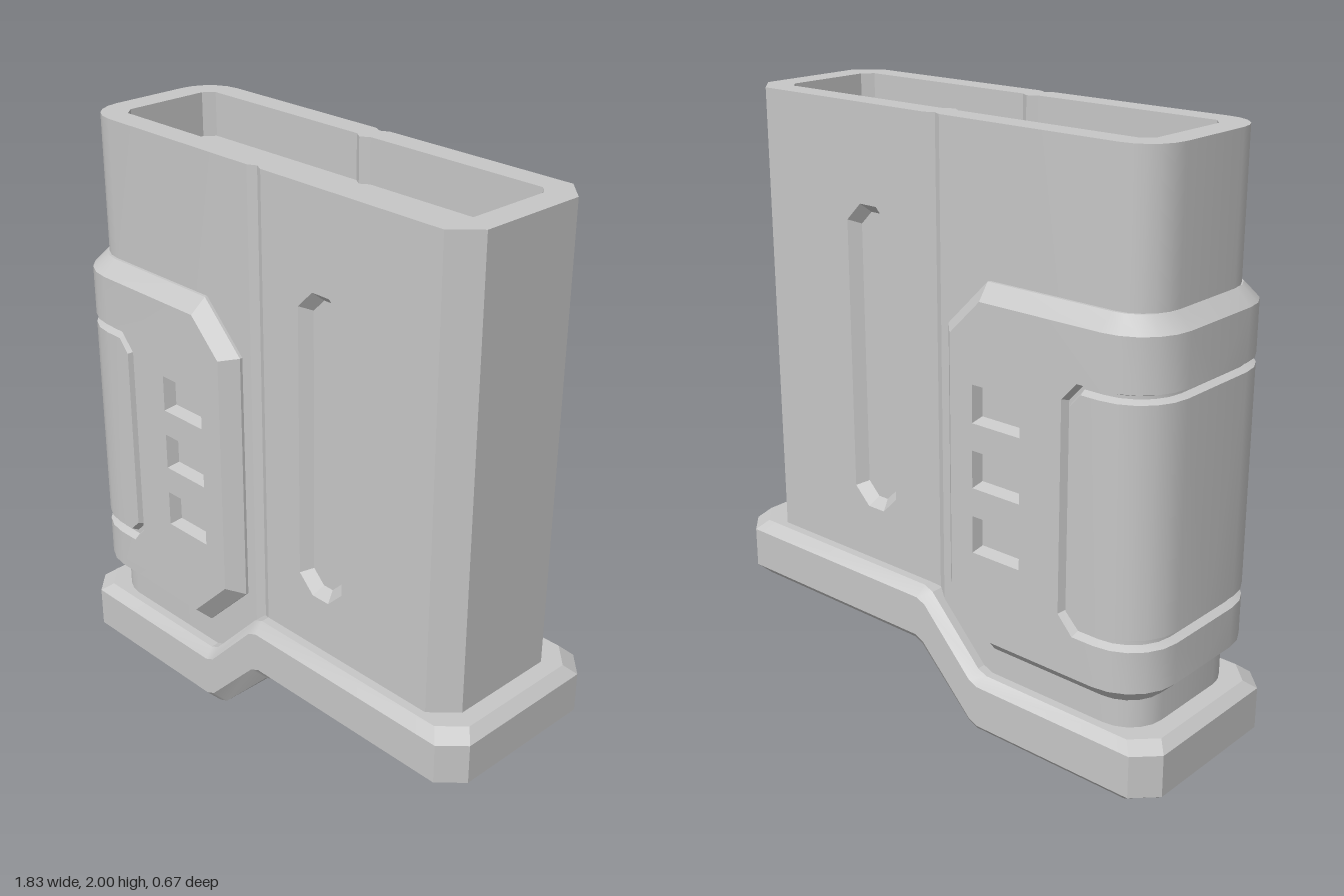
import * as THREE from 'three';
import { mergeGeometries, toCreasedNormals } from 'three/addons/utils/BufferGeometryUtils.js';

const at = (loop, z) => loop.map(([x, y]) => [x, y, z]);

// Surface through rows of points; it faces (along row) x (row to row)
function skin(rows, closed = false) {
  const pos = [];
  for (let i = 0; i < rows.length - 1; i++) {
    const n = rows[i].length;
    for (let j = 0; j < (closed ? n : n - 1); j++) {
      const k = (j + 1) % n;
      const a = rows[i][j], b = rows[i][k], c = rows[i + 1][k], d = rows[i + 1][j];
      pos.push(...a, ...b, ...c, ...a, ...c, ...d);
    }
  }
  const g = new THREE.BufferGeometry();
  g.setAttribute('position', new THREE.Float32BufferAttribute(pos, 3));
  return g;
}

// Flat face pointing to +z, with optional holes
function face(outline, z, holes = []) {
  const vec = (l) => l.map(([x, y]) => new THREE.Vector2(x, y));
  const shape = new THREE.Shape(vec(outline));
  holes.forEach((h) => shape.holes.push(new THREE.Path(vec(h))));
  const g = new THREE.ShapeGeometry(shape).toNonIndexed();
  g.deleteAttribute('normal');
  g.deleteAttribute('uv');
  return g.translate(0, 0, z);
}

// Flat face pointing up, from [x, z] points
const floor = (plan, y) =>
  face(plan.map(([x, z]) => [x, -z]), 0).rotateX(-Math.PI / 2).translate(0, y, 0);

// Copy reflected to the back, with corner order reversed
function mirrored(geo) {
  const g = geo.clone().scale(1, 1, -1);
  const p = g.attributes.position.array;
  for (let i = 0; i < p.length; i += 9) {
    for (let k = 0; k < 3; k++) [p[i + 3 + k], p[i + 6 + k]] = [p[i + 6 + k], p[i + 3 + k]];
  }
  return g;
}

// Clockwise rectangle with cut corners
function cutRect(x0, y0, x1, y1, c) {
  if (!c) return [[x0, y1], [x1, y1], [x1, y0], [x0, y0]];
  return [[x0 + c, y1], [x1 - c, y1], [x1, y1 - c], [x1, y0 + c],
    [x1 - c, y0], [x0 + c, y0], [x0, y0 + c], [x0, y1 - c]];
}

// Sloped pocket from a rim loop down to a smaller floor loop
const pocket = (rim, zRim, bed, zBed) =>
  [skin([at(bed, zBed), at(rim, zRim)], true), face(bed, zBed)];

// Plan path from the left end round to the front, [x, z]
function roundEnd(cx, cz, r) {
  const pts = [[cx - r, 0]];
  for (let i = 0; i <= 5; i++) {
    const a = (i / 5) * Math.PI / 2;
    pts.push([cx - r * Math.cos(a), cz + r * Math.sin(a)]);
  }
  return pts;
}

export function createModel() {
  const model = new THREE.Group();
  const grey = new THREE.MeshStandardMaterial({ color: 0xc6c6c6 });
  grey.name = 'grey';

  function add(name, geos, mirror = true) {
    const all = mirror ? [...geos, ...geos.map(mirrored)] : geos;
    const mesh = new THREE.Mesh(toCreasedNormals(mergeGeometries(all), 0.4), grey);
    mesh.name = name;
    model.add(mesh);
  }

  // Body: hollow-topped case with a centre groove
  const leftPath = [...roundEnd(-0.69, 0.14, 0.13), [-0.03, 0.27], [0, 0.255], [0.03, 0.27]];
  const rightPath = [[0.74, 0.27], [0.82, 0.19], [0.82, 0]];
  const inner = [[-0.73, 0], [-0.73, 0.15], [-0.7, 0.185], [-0.03, 0.185], [0, 0.165],
    [0.03, 0.185], [0.7, 0.185], [0.73, 0.15], [0.73, 0]];
  const lift = (path, y) => path.map(([x, z]) => [x, y, z]);
  const leftFoot = leftPath.map(([x, z]) => [x, x < 0 ? 0.19 : 0.35, z]);
  const slotRim = cutRect(0.185, 0.64, 0.375, 1.68, 0.06);
  const slotBed = cutRect(0.215, 0.67, 0.345, 1.65, 0.045);
  const cavityY = 1.85;
  add('body', [
    skin([leftFoot, lift(leftPath, 2)]),
    skin([lift(rightPath, 0.35), lift(rightPath, 2)]),
    face(cutRect(0.03, 0.35, 0.74, 2, 0), 0.27, [slotRim]),
    floor([...leftPath, ...rightPath, ...[...inner].reverse()], 2),
    skin([lift(inner, 2), lift(inner, cavityY)]),
    floor(inner, cavityY),
  ]);
  add('sideSlots', pocket(slotRim, 0.27, slotBed, 0.235));

  // Grip sleeve: rounded wrap at the left end, flat cheeks at front and back
  const X = -0.69;
  const profile = [[0.07, 0.31], [0.05, 0.31], [0, 0.36], [0, 0.5], [0.025, 0.513],
    [0.025, 0.527], [0, 0.54], [0, 1.28], [0.025, 1.29], [0.025, 1.3], [0, 1.31],
    [0, 1.48], [0.05, 1.53], [0.07, 1.53]];
  const wrap = skin(profile.map(([d, y]) => lift(roundEnd(X, 0.15, 0.18 - d), y)));

  const edge = [[X, 1.48], [-0.24, 1.48], [-0.12, 1.36], [-0.12, 0.52], [-0.28, 0.36], [X, 0.36]];
  const foot = [[X, 1.53], [-0.23, 1.53], [-0.07, 1.37], [-0.07, 0.5], [-0.26, 0.31], [X, 0.31]];
  const notch = [[X, 1.31], [-0.61, 1.31], [-0.555, 1.25], [-0.555, 0.56], [-0.61, 0.5], [X, 0.5]];
  const panel = [[X, 1.28], [-0.625, 1.28], [-0.585, 1.235], [-0.585, 0.58], [-0.625, 0.54], [X, 0.54]];
  const between = (t) => panel.map(([x, y], i) =>
    [x + (notch[i][0] - x) * t, y + (notch[i][1] - y) * t]);
  const windowY = [0.655, 0.875, 1.09];
  const windows = windowY.map((y) => cutRect(-0.4, y, -0.21, y + 0.125, 0));

  add('gripSleeve', [
    wrap,
    face([...edge, ...[...notch].reverse()], 0.33, windows),
    skin([at(edge, 0.33), at(foot, 0.28), at(foot, 0.26)]),
    face(panel, 0.33),
    skin([at(panel, 0.33), at(between(1 / 3), 0.305), at(between(2 / 3), 0.305), at(notch, 0.33)]),
  ]);
  add('sleeveWindows', windowY.flatMap((y, i) =>
    pocket(windows[i], 0.33, cutRect(-0.387, y + 0.013, -0.217, y + 0.108, 0), 0.29)));

  // Base plate: stepped slab, each layer [inset, bend start x, bend end x, low y, high y]
  const layers = [
    [0.035, -0.2, 0.08, 0, 0.24],
    [0, -0.23, 0.045, 0.035, 0.275],
    [0, -0.23, 0.035, 0.18, 0.415],
    [0.035, -0.24, 0.03, 0.21, 0.45],
  ].map(([d, b0, b1, lo, hi]) => {
    const ex = 0.915 - d, ez = 0.335 - d, c = 0.075;
    return [[-ex, lo, ez - c], [c - ex, lo, ez],
      [b0, lo, ez], [b0 + 0.035, lo + 0.015, ez], [b1 - 0.035, hi - 0.015, ez], [b1, hi, ez],
      [ex - c, hi, ez], [ex, hi, ez - c]];
  });
  const back = (row) => row.map(([x, y, z]) => [x, y, -z]);
  const [bottom, , , top] = layers;
  add('basePlate', [
    skin(layers.map((row) => [...row, ...back(row).reverse()]), true),
    skin([top, back(top)]),
    skin([back(bottom), bottom]),
  ], false);

  return model;
}
